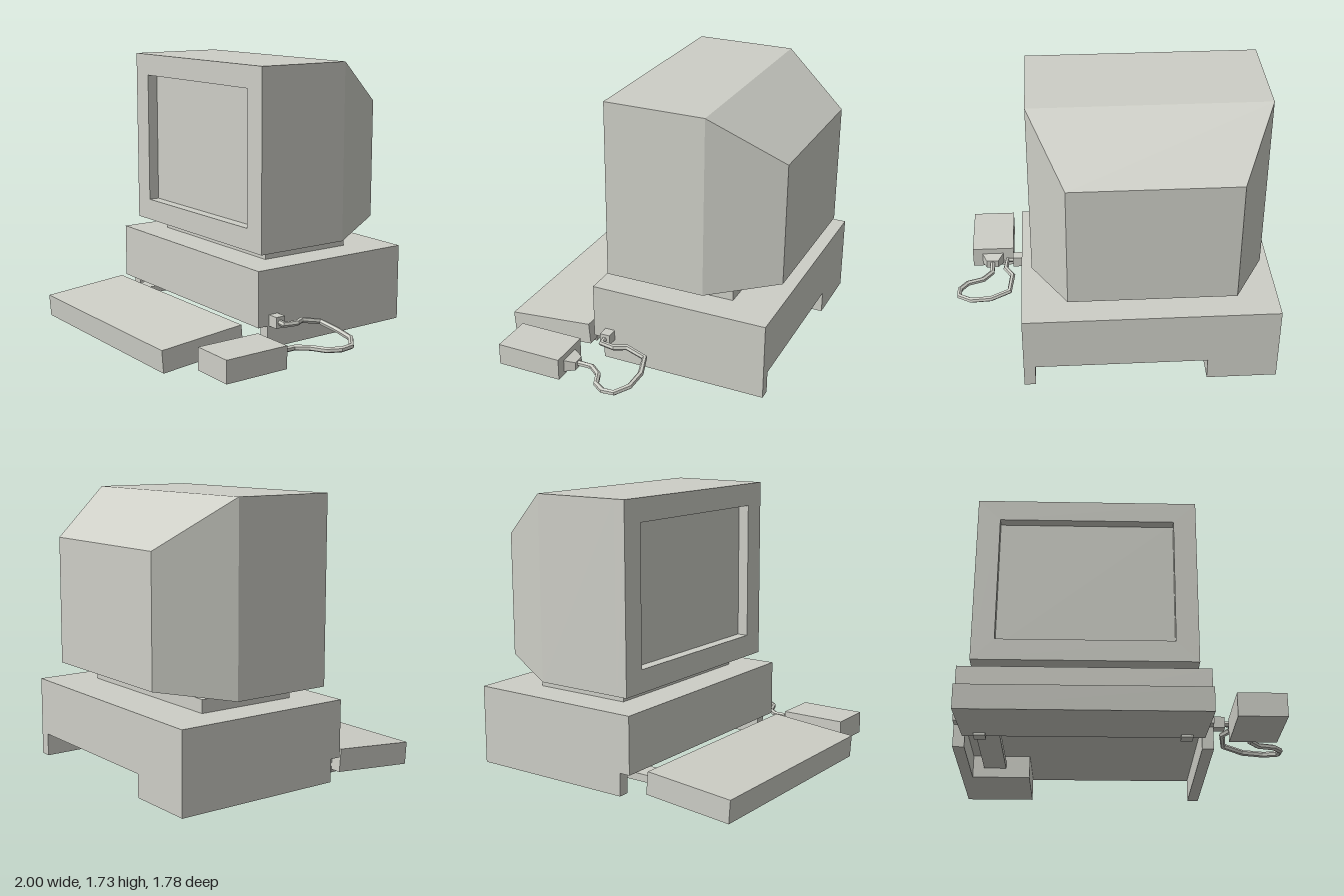
import * as THREE from 'three';

const plastic = new THREE.MeshStandardMaterial({ color: 0xcdcec6 });
plastic.name = 'warm grey plastic';

export function createModel() {
  const model = new THREE.Group();
  model.name = 'desktopComputer';

  function add(name, geometry, parent = model) {
    const mesh = new THREE.Mesh(geometry, plastic);
    mesh.name = name;
    parent.add(mesh);
    return mesh;
  }

  function group(name) {
    const g = new THREE.Group();
    g.name = name;
    model.add(g);
    return g;
  }

  // Box between two z planes; each end has its own rectangle [x0, x1, y0, y1]
  function block(z0, z1, back, front = back) {
    const geometry = new THREE.BoxGeometry(1, 1, 1);
    const p = geometry.attributes.position;
    for (let i = 0; i < p.count; i++) {
      const r = p.getZ(i) > 0 ? front : back;
      p.setXYZ(i, p.getX(i) > 0 ? r[1] : r[0], p.getY(i) > 0 ? r[3] : r[2], p.getZ(i) > 0 ? z1 : z0);
    }
    geometry.computeVertexNormals();
    return geometry;
  }

  // System case: overhanging top on two side rails and a rear block
  const systemCase = group('systemCase');
  add('caseBody', block(-0.89, 0.25, [-1, 0.55, 0.17, 0.52]), systemCase);
  add('leftRail', block(-0.89, 0.18, [0.48, 0.55, 0.03, 0.17]), systemCase);
  add('rightRail', block(-0.4, 0.18, [-1, -0.93, 0.03, 0.17]), systemCase);
  add('rearBlock', block(-0.89, -0.4, [-1, -0.57, 0.03, 0.17]), systemCase);

  // Monitor: open bezel, straight housing, tapered back
  const monitor = group('monitor');
  const outer = [-0.93, 0.485, 0.595, 1.725];
  const [sx0, sx1, sy0, sy1] = [-0.785, 0.34, 0.735, 1.585];
  const rectangle = (Type, x0, x1, y0, y1) => new Type([
    new THREE.Vector2(x0, y0), new THREE.Vector2(x1, y0),
    new THREE.Vector2(x1, y1), new THREE.Vector2(x0, y1),
  ]);
  const frame = rectangle(THREE.Shape, ...outer);
  frame.holes.push(rectangle(THREE.Path, sx0, sx1, sy0, sy1));
  add('bezel', new THREE.ExtrudeGeometry(frame, { depth: 0.07, bevelEnabled: false }).translate(0, 0, 0.11), monitor);
  add('housingAndScreen', block(-0.46, 0.11, outer), monitor);
  add('taperedBack', block(-0.89, -0.46, [-0.72, 0.275, 0.67, 1.44], outer), monitor);
  add('monitorStand', block(-0.6, 0.04, [-0.785, 0.34, 0.52, 0.6]), monitor);

  // Keyboard: tilted wedge on two rear feet
  const keyboard = group('keyboard');
  const profile = new THREE.Shape([[0.315, 0.05], [0.88, 0], [0.89, 0.14], [0.328, 0.19]]
    .map(([z, y]) => new THREE.Vector2(z, y)));
  add('keyboardBody', new THREE.ExtrudeGeometry(profile, { depth: 1.415, bevelEnabled: false })
    .rotateY(-Math.PI / 2).translate(0.485, 0, 0), keyboard);
  for (const x of [-0.86, 0.34]) {
    add('keyboardFoot', block(0.312, 0.39, [x, x + 0.07, 0.03, 0.07]), keyboard);
  }
  add('keyboardConnector', block(-0.4, 0.33, [-0.86, -0.72, 0.09, 0.135]), keyboard);

  // Mouse with strain relief, plug and looping cable
  const mouse = group('mouse');
  add('mouseBody', block(0.31, 0.735, [0.625, 0.905, 0.03, 0.17]), mouse);
  add('strainRelief', block(0.245, 0.312, [0.73, 0.81, 0.06, 0.115], [0.695, 0.84, 0.05, 0.13]), mouse);
  add('mousePlug', block(0.105, 0.17, [0.55, 0.622, 0.17, 0.24]), mouse);

  const path = new THREE.CatmullRomCurve3([
    [0.61, 0.205, 0.14], [0.66, 0.2, 0.14], [0.67, 0.198, 0.05], [0.625, 0.192, -0.02],
    [0.645, 0.165, -0.15], [0.77, 0.135, -0.185], [0.9, 0.12, -0.175], [0.98, 0.105, -0.11],
    [0.98, 0.1, -0.035], [0.93, 0.095, 0.035], [0.83, 0.09, 0.075], [0.77, 0.09, 0.15], [0.77, 0.09, 0.26],
  ].map((p) => new THREE.Vector3(...p)));
  path.getUtoTmapping = (u) => u; // straight runs between the bends
  const cable = new THREE.TubeGeometry(path, 12, 0.018, 6).toNonIndexed();
  cable.computeVertexNormals();
  add('mouseCable', cable, mouse);

  return model;
}
